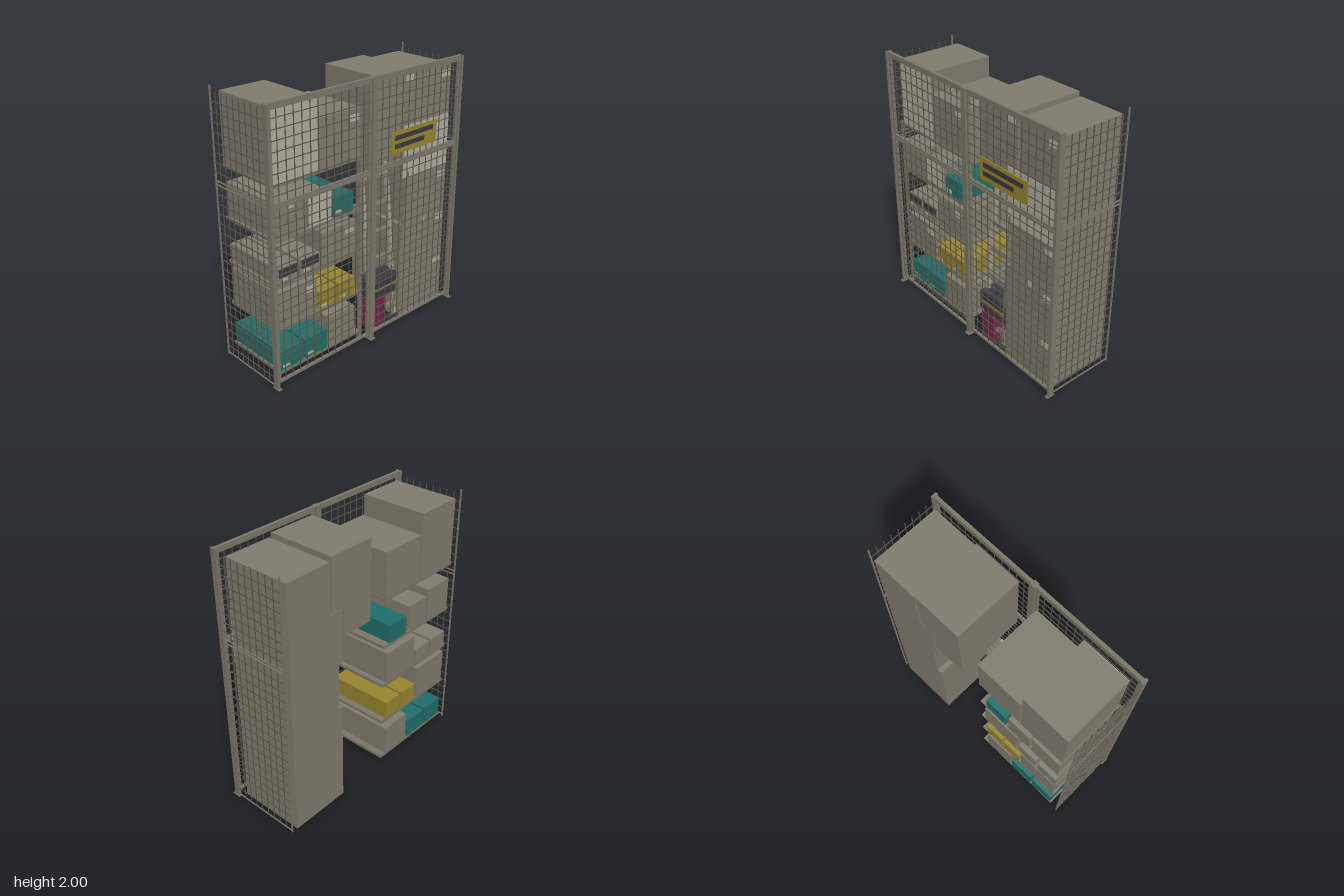
import * as THREE from 'three';

const mat = (name, color) => {
  const m = new THREE.MeshStandardMaterial({ color });
  m.name = name;
  return m;
};

export function createModel() {
  const root = new THREE.Group();
  root.name = 'storageCage';
  const M = {
    grey: mat('warm grey carton', 0x827d70),
    light: mat('pale carton', 0xb2ad9f),
    frame: mat('frame grey', 0x7c776a),
    wire: mat('wire grey', 0x5c584d),
    teal: mat('teal', 0x1f6f6a),
    yellow: mat('yellow', 0x97872f),
    dark: mat('charcoal', 0x3b3a42),
    magenta: mat('magenta', 0x7c1f4f),
    ladder: mat('ladder beige', 0xa29c8d),
  };

  const group = (name) => {
    const g = new THREE.Group();
    g.name = name;
    root.add(g);
    return g;
  };
  // Box given by its limits on each axis
  const box = (parent, name, m, x0, x1, y0, y1, z0, z1) => {
    const mesh = new THREE.Mesh(new THREE.BoxGeometry(x1 - x0, y1 - y0, z1 - z0), M[m]);
    mesh.position.set((x0 + x1) / 2, (y0 + y1) / 2, (z0 + z1) / 2);
    mesh.name = name;
    parent.add(mesh);
    return mesh;
  };
  // Square bar running between two points
  const bar = (parent, name, m, a, b, w, d = w) => {
    const p = new THREE.Vector3(...a), q = new THREE.Vector3(...b);
    const mesh = new THREE.Mesh(new THREE.BoxGeometry(w, p.distanceTo(q), d), M[m]);
    mesh.position.copy(p).add(q).multiplyScalar(0.5);
    mesh.quaternion.setFromUnitVectors(new THREE.Vector3(0, 1, 0), q.sub(p).normalize());
    mesh.name = name;
    parent.add(mesh);
  };
  const W = 0.0025; // half thickness of a wire

  // Front frame: posts, feet and top rail
  const frame = group('frontFrame');
  for (const [x0, x1] of [[-0.897, -0.877], [-0.02, 0.02], [0.877, 0.897]]) {
    box(frame, 'post', 'frame', x0, x1, 0, 2, 0.24, 0.285);
    box(frame, 'foot', 'frame', x0 - 0.004, x1 + 0.004, 0, 0.008, 0.235, 0.3);
  }
  box(frame, 'topRail', 'frame', -0.89, 0.89, 1.98, 2, 0.25, 0.275);

  // Front mesh panels, two low and two high
  const panels = group('frontPanels');
  for (const [x0, x1] of [[-0.877, -0.022], [0.022, 0.877]]) {
    for (const [y0, y1] of [[0.038, 1.338], [1.342, 1.978]]) {
      const t = 0.018;
      box(panels, 'panelRail', 'frame', x0, x1, y0, y0 + t, 0.252, 0.272);
      box(panels, 'panelRail', 'frame', x0, x1, y1 - t, y1, 0.252, 0.272);
      box(panels, 'panelStile', 'frame', x0, x0 + t, y0, y1, 0.252, 0.272);
      box(panels, 'panelStile', 'frame', x1 - t, x1, y0, y1, 0.252, 0.272);
      const nx = 13, ny = Math.round((y1 - y0) / 0.067);
      for (let i = 1; i < nx; i++) {
        const x = x0 + ((x1 - x0) * i) / nx;
        box(panels, 'uprightWire', 'wire', x - W, x + W, y0, y1, 0.262, 0.267);
      }
      for (let j = 1; j < ny; j++) {
        const y = y0 + ((y1 - y0) * j) / ny;
        box(panels, 'crossWire', 'wire', x0, x1, y - W, y + W, 0.267, 0.272);
      }
    }
  }

  // Side mesh panels with a slim rear post
  const sides = group('sideMesh');
  for (const s of [-1, 1]) {
    const x = 0.885 * s;
    box(sides, 'rearPost', 'frame', x - 0.005, x + 0.005, 0, 2, -0.304, -0.294);
    for (const [y0, y1] of [[0.01, 1.335], [1.355, 1.97]]) {
      box(sides, 'lowerEdge', 'frame', x - 0.004, x + 0.004, y0, y0 + 0.008, -0.3, 0.245);
      for (let i = 1; i < 9; i++) {
        const z = -0.3 + (0.54 * i) / 9;
        box(sides, 'uprightWire', 'wire', x - W, x + W, y0, y1, z - W, z + W);
      }
      const n = Math.round((y1 - y0) / 0.069);
      for (let j = 1; j < n; j++) {
        const y = y0 + ((y1 - y0) * j) / n;
        box(sides, 'crossWire', 'wire', x + s * 0.004 - W, x + s * 0.004 + W, y - W, y + W, -0.3, 0.245);
      }
    }
    box(sides, 'middleEdge', 'frame', x - 0.004, x + 0.004, 1.326, 1.334, -0.3, 0.245);
  }

  // Sign on the upper right panel
  const sign = group('sign');
  box(sign, 'signPlate', 'yellow', 0.165, 0.63, 1.417, 1.58, 0.274, 0.282);
  box(sign, 'signBar', 'dark', 0.2, 0.59, 1.517, 1.552, 0.282, 0.285);
  box(sign, 'signBar', 'dark', 0.2, 0.5, 1.456, 1.49, 0.282, 0.285);

  // Shelving
  const shelving = group('shelving');
  for (const x of [-0.834, -0.068]) box(shelving, 'shelfUpright', 'frame', x - 0.012, x + 0.012, 0.01, 1.465, 0.205, 0.228);
  for (const y of [0.08, 0.417, 0.747, 1.08, 1.46]) {
    box(shelving, 'shelf', 'frame', -0.824, -0.068, y - 0.022, y, -0.304, 0.222);
  }

  // Cartons and bins: colour, x range, y range, optional label [x0, x1, y0, y1]
  const goods = group('cartons');
  const cartons = [
    ['teal', -0.81, -0.61, 0.08, 0.23, [-0.795, -0.735, 0.1, 0.117]],
    ['teal', -0.593, -0.39, 0.08, 0.23, [-0.575, -0.52, 0.1, 0.117]],
    ['grey', -0.37, -0.118, 0.08, 0.315],
    ['grey', -0.81, -0.478, 0.417, 0.685, [-0.575, -0.5, 0.6, 0.645]],
    ['yellow', -0.455, -0.295, 0.417, 0.557, [-0.44, -0.39, 0.432, 0.45]],
    ['yellow', -0.276, -0.118, 0.417, 0.557, [-0.26, -0.21, 0.432, 0.45]],
    ['grey', -0.81, -0.64, 0.747, 0.87],
    ['grey', -0.617, -0.445, 0.747, 0.87],
    ['grey', -0.425, -0.11, 0.747, 1.0, [-0.21, -0.135, 0.925, 0.968]],
    ['grey', -0.81, -0.56, 1.08, 1.33, [-0.705, -0.665, 1.27, 1.31]],
    ['grey', -0.537, -0.34, 1.08, 1.285],
    ['teal', -0.315, -0.13, 1.08, 1.22, [-0.3, -0.245, 1.095, 1.125]],
    ['grey', -0.817, -0.452, 1.46, 1.953],
    ['grey', -0.437, -0.07, 1.46, 1.803, [-0.17, -0.09, 1.72, 1.765]],
    ['grey', 0.36, 0.84, 0, 0.41, [0.74, 0.825, 0.335, 0.378]],
    ['grey', 0.36, 0.84, 0.41, 0.8, [0.74, 0.825, 0.722, 0.766]],
    ['grey', 0.4, 0.84, 0.8, 1.17, [0.74, 0.825, 1.08, 1.124]],
    ['grey', 0.36, 0.84, 1.17, 1.57],
    ['grey', 0.09, 0.35, 1.36, 1.575],
    ['grey', 0.09, 0.462, 1.575, 1.97, [0.365, 0.44, 1.885, 1.93]],
    ['grey', 0.477, 0.84, 1.57, 1.94, [0.74, 0.83, 1.852, 1.895]],
  ];
  for (const [m, x0, x1, y0, y1, label] of cartons) {
    box(goods, 'carton', m, x0, x1, y0, y1, -0.303, 0.217);
    if (label) box(goods, 'label', 'light', ...label, 0.216, 0.221);
  }
  box(goods, 'smallLabel', 'light', 0.59, 0.62, 0.755, 0.8, 0.216, 0.221);
  // Pale carton fronts
  for (const c of [[-0.817, -0.452, 1.46, 1.953], [-0.537, -0.34, 1.08, 1.285], [0.36, 0.84, 1.17, 1.57]]) {
    box(goods, 'paleFront', 'light', ...c, 0.216, 0.221);
  }
  // Dark windows of the two small bins
  for (const x of [-0.8, -0.608]) {
    box(goods, 'binWindow', 'dark', x, x + 0.152, 0.8, 0.862, 0.216, 0.221);
    box(goods, 'binLabel', 'light', x + 0.015, x + 0.07, 0.772, 0.786, 0.216, 0.221);
  }

  // Leaning ladder
  const ladder = group('ladder');
  const ladderZ = (y) => 0.195 - 0.1 * y;
  for (const x of [0.085, 0.335]) bar(ladder, 'ladderRail', 'ladder', [x, 0.01, ladderZ(0)], [x, 1.27, ladderZ(1.27)], 0.026);
  for (const y of [0.13, 0.34, 0.555, 0.765, 0.975, 1.185]) {
    box(ladder, 'rung', 'frame', 0.095, 0.325, y - 0.012, y + 0.012, ladderZ(y) - 0.02, ladderZ(y) + 0.02);
  }

  // Broom
  const broom = group('broom');
  bar(broom, 'broomHandle', 'frame', [0.305, 0.05, 0.205], [0.405, 1.22, 0.228], 0.013);
  box(broom, 'broomHead', 'dark', 0.235, 0.355, 0, 0.05, 0.17, 0.225);

  // Canister
  const canister = group('canister');
  box(canister, 'canisterBase', 'dark', 0.072, 0.228, 0, 0.015, 0.05, 0.215);
  box(canister, 'canisterBody', 'magenta', 0.078, 0.222, 0.015, 0.225, 0.055, 0.21);
  box(canister, 'canisterLid', 'magenta', 0.09, 0.2, 0.225, 0.26, 0.065, 0.2);

  // Toolbox
  const toolbox = group('toolbox');
  box(toolbox, 'toolboxBody', 'dark', 0.067, 0.345, 0.26, 0.418, 0.075, 0.215);
  box(toolbox, 'toolboxStripe', 'yellow', 0.085, 0.327, 0.33, 0.346, 0.214, 0.219);
  for (const x of [0.168, 0.225]) box(toolbox, 'handlePost', 'dark', x, x + 0.015, 0.418, 0.44, 0.135, 0.155);
  box(toolbox, 'handleGrip', 'dark', 0.168, 0.24, 0.43, 0.447, 0.135, 0.155);

  return root;
}
